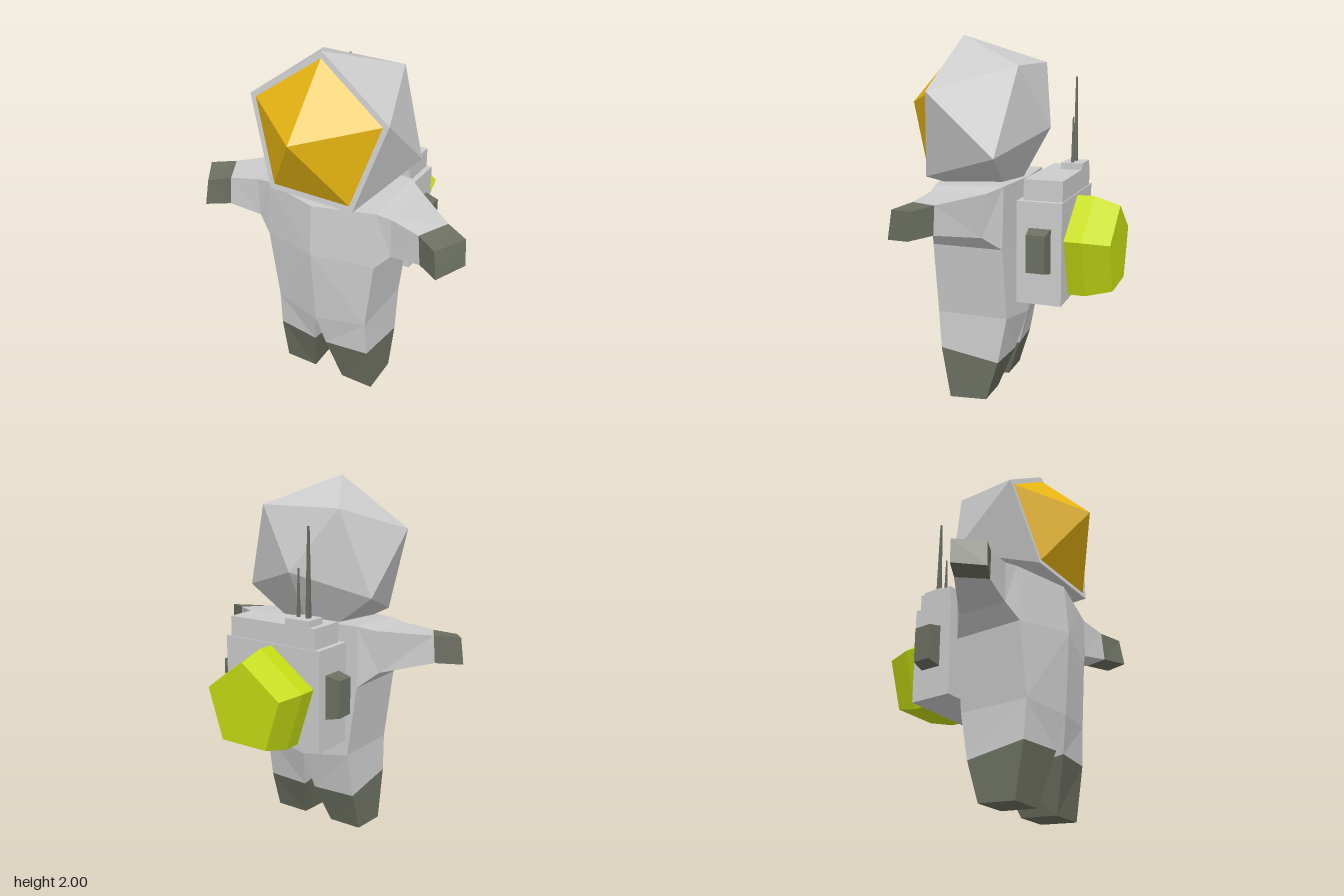
import * as THREE from 'three';
import { ConvexGeometry } from 'three/addons/geometries/ConvexGeometry.js';

const mat = (color) => new THREE.MeshStandardMaterial({ color, flatShading: true });
const grey = mat(0xcccccc), dark = mat(0x6c6f61), gold = mat(0xe8b512), green = mat(0xc4dc14);

const V = (p) => new THREE.Vector3(...p);

// Faceted skin through rings of points; side -1 mirrors it in x
function loft(rings, { side = 1, capStart = false, capEnd = false } = {}) {
  const pos = [];
  const tri = (a, b, c) => {
    const corners = side > 0 ? [a, b, c] : [a, c, b];
    for (const p of corners) pos.push(p[0] * side, p[1], p[2]);
  };
  // Each quad is split along its shorter diagonal
  const quad = (a, b, c, d) => {
    if (V(a).distanceTo(V(c)) < V(b).distanceTo(V(d))) {
      tri(a, b, c);
      tri(a, c, d);
    } else {
      tri(a, b, d);
      tri(b, c, d);
    }
  };
  const n = rings[0].length;
  for (let r = 0; r + 1 < rings.length; r++) {
    const a = rings[r], b = rings[r + 1];
    for (let i = 0; i < n; i++) {
      const j = (i + 1) % n;
      quad(a[i], b[i], b[j], a[j]);
    }
  }
  const first = rings[0], last = rings[rings.length - 1];
  for (let i = 1; i + 1 < n; i++) {
    if (capStart) tri(first[0], first[i], first[i + 1]);
    if (capEnd) tri(last[0], last[i + 1], last[i]);
  }
  const g = new THREE.BufferGeometry();
  g.setAttribute('position', new THREE.Float32BufferAttribute(pos, 3));
  g.computeVertexNormals();
  return g;
}

export function createModel() {
  const model = new THREE.Group();
  model.name = 'astronaut';

  const add = (name, geometry, material, x = 0, y = 0, z = 0, parent = model) => {
    const m = new THREE.Mesh(geometry, material);
    m.name = name;
    m.position.set(x, y, z);
    parent.add(m);
  };

  // Helmet: a stretched icosahedron with its front pentagon left flat as a rim
  const rim = [[0, 2, 0.29], [0.4, 1.72, 0.34], [0.245, 1.25, 0.42], [-0.245, 1.25, 0.42], [-0.4, 1.72, 0.34]].map(V);
  const rear = [[0.245, 1.85, -0.11], [0.4, 1.39, -0.03], [0, 1.1, 0.02], [-0.4, 1.39, -0.03], [-0.245, 1.85, -0.11]].map(V);
  add('helmet', new ConvexGeometry([...rim, ...rear, V([0, 1.515, -0.21])]), grey);

  // Visor: gold pyramid on a slightly smaller pentagon
  const rimCentre = V([0, 1.588, 0.362]);
  const visorEdge = rim.map((p) => p.clone().lerp(rimCentre, 0.085));
  add('visor', new ConvexGeometry([...visorEdge, V([0, 1.63, 0.603])]), gold);

  // Torso: half sections (front centre, front side, back side, back centre)
  const hips = [[0, 0.48, 0.403], [0.278, 0.5, 0.345], [0.278, 0.5, -0.055], [0, 0.46, -0.085]];
  const halves = [
    [[0, 1.215, 0.42], [0.33, 1.22, 0.33], [0.33, 1.24, -0.06], [0, 1.24, -0.085]],
    [[0, 0.93, 0.44], [0.33, 0.9, 0.345], [0.33, 0.9, -0.05], [0, 0.9, -0.085]],
    hips,
  ];
  const flip = ([x, y, z]) => [-x, y, z];
  add('torso', loft(halves.map((h) => [...h, flip(h[2]), flip(h[1])]), { capStart: true }), grey);

  // Leg and arm sections of the left side
  const bootTop = [[0.035, 0.29, 0.36], [0.285, 0.29, 0.33], [0.285, 0.24, -0.005], [0.035, 0.24, -0.02]];
  const sole = [[0.092, 0, 0.28], [0.287, 0, 0.28], [0.287, 0.015, 0.065], [0.092, 0.015, 0.065]];
  const shoulder = [[0.33, 1.24, -0.06], [0.33, 0.9, -0.05], [0.33, 0.9, 0.345], [0.33, 1.22, 0.33]];
  const upperArm = [[0.42, 1.215, 0.0], [0.42, 0.98, 0.03], [0.41, 0.98, 0.31], [0.41, 1.205, 0.315]];
  const wrist = [[0.66, 1.19, 0.18], [0.67, 1.04, 0.185], [0.59, 1.015, 0.345], [0.575, 1.18, 0.34]];
  const fist = [[0.785, 1.18, 0.25], [0.8, 1.035, 0.26], [0.71, 1.01, 0.415], [0.69, 1.16, 0.4]];

  for (const side of [1, -1]) {
    const word = side > 0 ? 'left' : 'right';
    add(word + 'Leg', loft([hips, bootTop], { side }), grey);
    add(word + 'Boot', loft([bootTop, sole], { side, capEnd: true }), dark);
    add(word + 'Arm', loft([shoulder, upperArm, wrist], { side }), grey);
    add(word + 'Glove', loft([wrist, fist], { side, capEnd: true }), dark);
  }

  // Backpack
  const pack = new THREE.Group();
  pack.name = 'backpack';
  model.add(pack);
  const box = (name, w, h, d, x, y, z) =>
    add(name, new THREE.BoxGeometry(w, h, d), grey, x, y, z, pack);
  box('packBody', 0.61, 0.55, 0.245, 0, 0.89, -0.243);
  box('packLid', 0.55, 0.11, 0.21, 0, 1.22, -0.255);
  box('antennaBase', 0.15, 0.035, 0.12, -0.165, 1.293, -0.305);

  // Square tapering antennas
  const antenna = (name, r, top, x) => {
    const h = top - 1.31;
    const rod = new THREE.CylinderGeometry(r * 0.4, r, h, 4, 1, false, Math.PI / 4);
    add(name, rod, dark, x, 1.31 + h / 2, -0.3, pack);
  };
  antenna('tallAntenna', 0.016, 1.775, -0.192);
  antenna('shortAntenna', 0.011, 1.56, -0.13);

  // Side pods, narrowing outwards
  const podRing = (x, dy, dz) =>
    [[1, -1], [-1, -1], [-1, 1], [1, 1]].map(([a, b]) => [x, 0.907 + a * dy, -0.248 + b * dz]);
  for (const side of [1, -1]) {
    add(side > 0 ? 'leftPod' : 'rightPod',
      loft([podRing(0.3, 0.12, 0.06), podRing(0.385, 0.1, 0.05)], { side, capEnd: true }), dark, 0, 0, 0, pack);
  }

  // Five-sided tank on the back, apex up, with a bevelled end
  const pentagon = (r, z) => Array.from({ length: 5 }, (_, i) => {
    const a = i * Math.PI * 0.4;
    return [-Math.sin(a) * r, 0.87 + Math.cos(a) * r, z];
  });
  const tankRings = [pentagon(0.284, -0.36), pentagon(0.284, -0.46), pentagon(0.242, -0.603)];
  add('tank', loft(tankRings, { capEnd: true }), green, 0, 0, 0, pack);

  return model;
}
